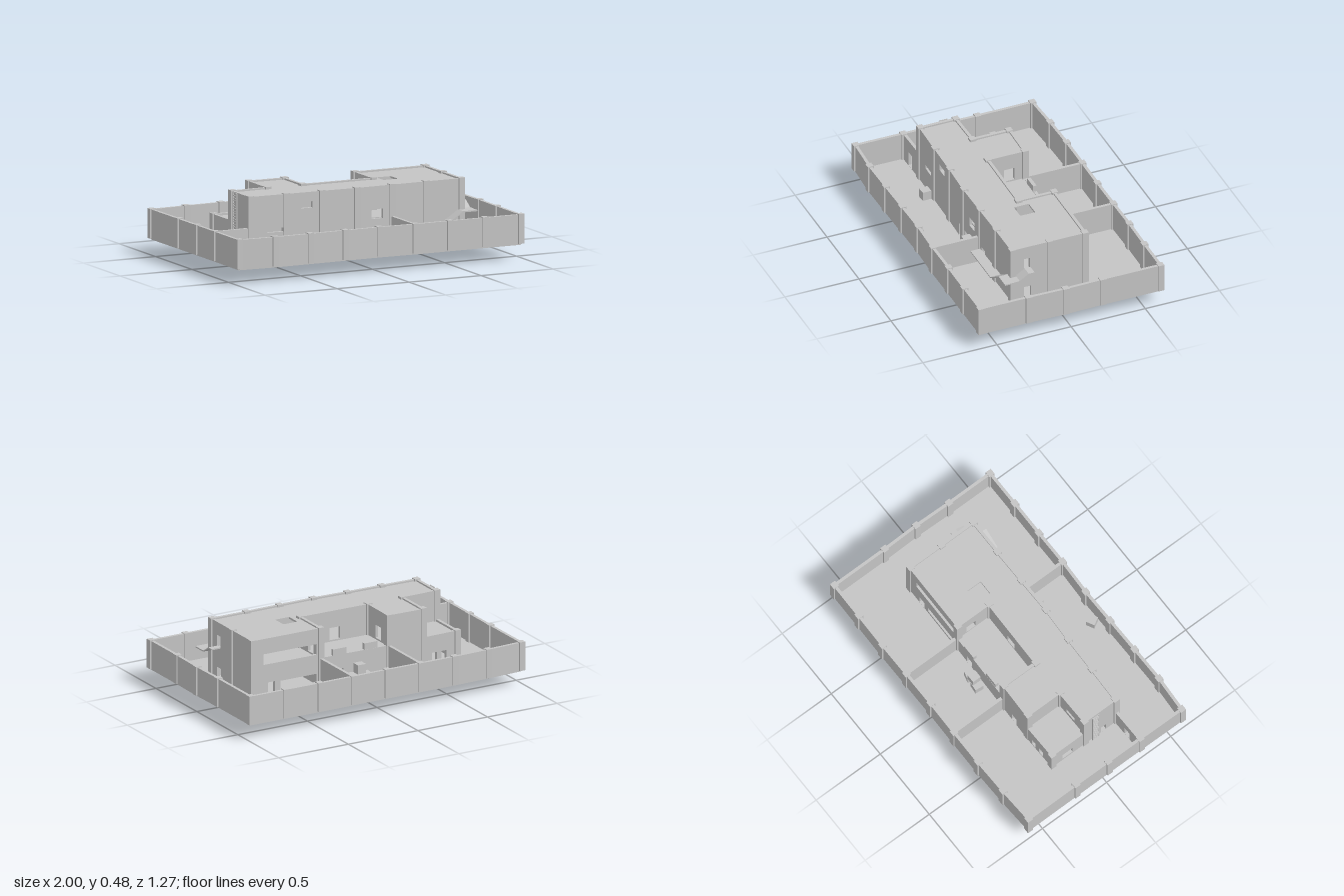
import * as THREE from 'three';

const grey = new THREE.MeshStandardMaterial({ color: 0xc4c4c4 });
grey.name = 'concrete grey';

const GROUND = 0.1, MID = 0.283, TOP = 0.48, T = 0.02;

export function createModel() {
  const model = new THREE.Group();

  const add = (name, geo) => {
    const m = new THREE.Mesh(geo, grey);
    m.name = name;
    model.add(m);
    return m;
  };
  const box = (name, x0, x1, y0, y1, z0, z1) => {
    const m = add(name, new THREE.BoxGeometry(x1 - x0, y1 - y0, z1 - z0));
    m.position.set((x0 + x1) / 2, (y0 + y1) / 2, (z0 + z1) / 2);
    return m;
  };
  const rectPath = (a, b, c, d) => new THREE.Path([[a, c], [b, c], [b, d], [a, d]].map(p => new THREE.Vector2(...p)));

  // Upright wall between two plan points; openings are [from, to, bottom, top] along the main axis
  const panel = (name, p, q, y0, y1, openings = []) => {
    const dx = q[0] - p[0], dz = q[1] - p[1], len = Math.hypot(dx, dz);
    const axis = Math.abs(dx) > Math.abs(dz) ? 0 : 1;
    const u = v => (v - p[axis]) / (q[axis] - p[axis]) * len;
    const shape = new THREE.Shape([[0, y0], [len, y0], [len, y1], [0, y1]].map(a => new THREE.Vector2(...a)));
    for (const [a, b, c, d] of openings) shape.holes.push(rectPath(u(a), u(b), c, d));
    const geo = new THREE.ExtrudeGeometry(shape, { depth: T, bevelEnabled: false });
    geo.translate(0, 0, -T / 2).rotateY(-Math.atan2(dz, dx)).translate(p[0], 0, p[1]);
    add(name, geo);
  };
  const pillar = (name, [x, z], y1) => box(name, x - 0.02, x + 0.02, GROUND, y1, z - 0.02, z + 0.02);

  // Horizontal slab from a plan outline, with rectangular holes [x0, x1, z0, z1]
  const slab = (name, pts, y0, y1, holes = []) => {
    const shape = new THREE.Shape(pts.map(([x, z]) => new THREE.Vector2(x, -z)));
    for (const [a, b, c, d] of holes) shape.holes.push(rectPath(a, b, -d, -c));
    const geo = new THREE.ExtrudeGeometry(shape, { depth: y1 - y0, bevelEnabled: false });
    add(name, geo.rotateX(-Math.PI / 2).translate(0, y0, 0));
  };

  // Slightly uneven perimeter
  const xs = [-0.98, -0.735, -0.49, -0.245, -0.005, 0.24, 0.48, 0.725, 0.975];
  const zs = [-0.22, 0.03, 0.28];
  const front = [0.6, 0.612, 0.608, 0.603, 0.598, 0.605, 0.603, 0.603, 0.602].map((z, i) => [xs[i], z]);
  const back = [-0.592, -0.605, -0.612, -0.612, -0.61, -0.612, -0.615, -0.613, -0.612].map((z, i) => [xs[i], z]);
  const perimeter = [
    ...front, ...[...zs].reverse().map((z, i) => [i === 1 ? 0.98 : 0.975, z]),
    ...[...back].reverse(), ...zs.map(z => [-0.978, z]),
  ];
  slab('groundSlab', perimeter, 0.09, GROUND);
  perimeter.forEach((p, i) => {
    panel('yardWall', p, perimeter[(i + 1) % perimeter.length], 0.095, MID);
    pillar('yardPillar', p, MID + 0.005);
  });

  // Walls dividing the yard
  panel('yardDivider', [-0.245, -0.61], [-0.245, -0.22], GROUND, MID);
  panel('yardDivider', [0.24, -0.61], [0.24, -0.22], GROUND, MID);
  panel('yardDivider', [0.24, 0.285], [0.24, 0.6], GROUND, MID);
  panel('yardDivider', [-0.978, 0.275], [-0.735, 0.27], GROUND, MID, [[-0.89, -0.84, 0.102, 0.2]]);

  // Front facade
  const facade = [[-0.735, 0.27], [-0.49, 0.276], [-0.245, 0.28], [-0.005, 0.289], [0.24, 0.285], [0.48, 0.281], [0.725, 0.28]];
  const facadeOpenings = [
    [[-0.62, -0.51, 0.245, 0.27]],
    [[-0.39, -0.31, 0.38, 0.42]],
    [[-0.07, -0.03, 0.102, 0.19]],
    [[0.02, 0.07, 0.102, 0.19], [0.095, 0.175, 0.275, 0.335]],
    [[0.28, 0.33, 0.16, 0.225]],
    [],
  ];
  facadeOpenings.forEach((o, i) => panel('frontFacade', facade[i], facade[i + 1], GROUND, TOP, o));
  facade.forEach(p => pillar('buildingPillar', p, TOP + 0.005));

  // Side walls, full height
  panel('rightSideWall', [0.725, -0.21], [0.725, 0.28], GROUND, TOP, [[0.165, 0.205, 0.32, 0.395], [0.155, 0.205, 0.102, 0.185]]);
  panel('leftSideWall', [-0.735, 0.03], [-0.735, 0.27], GROUND, TOP, [[0.15, 0.19, 0.102, 0.18]]);

  // Rear blocks and recessed upper walls
  panel('rearBlockWall', [0.24, -0.212], [0.725, -0.21], GROUND, TOP,
    [[0.27, 0.65, 0.31, 0.38], [0.27, 0.53, 0.125, 0.185], [0.57, 0.62, 0.102, 0.19]]);
  panel('rearTowerWall', [-0.49, -0.228], [-0.245, -0.222], GROUND, TOP, [[-0.39, -0.34, 0.102, 0.19]]);
  panel('terraceSideWall', [0.24, -0.212], [0.24, 0.03], GROUND, TOP, [[-0.15, -0.08, 0.29, 0.375]]);
  panel('terraceSideWall', [-0.245, -0.222], [-0.245, 0.03], GROUND, TOP, [[-0.15, -0.08, 0.29, 0.375]]);
  panel('terraceRearWall', [-0.245, 0.025], [0.24, 0.03], GROUND, TOP, [[-0.04, 0.035, 0.29, 0.37]]);
  panel('cornerInnerWall', [-0.735, 0.03], [-0.49, 0.025], GROUND, TOP, [[-0.65, -0.57, 0.315, 0.36]]);
  panel('cornerInnerWall', [-0.49, -0.228], [-0.49, 0.025], GROUND, TOP);
  [[0.725, -0.21], [0.725, 0.03], [0.24, -0.212], [0.24, 0.03], [-0.245, 0.025], [-0.245, -0.222],
    [-0.49, -0.222], [-0.49, 0.025], [-0.735, 0.03]].forEach(p => pillar('buildingPillar', p, TOP + 0.005));

  // Lower corner room and the ground floor below the terrace
  panel('cornerRoomBackWall', [-0.735, -0.222], [-0.49, -0.228], GROUND, MID + 0.01,
    [[-0.585, -0.55, 0.11, 0.18], [-0.655, -0.62, 0.11, 0.18]]);
  panel('cornerRoomSideWall', [-0.735, -0.222], [-0.735, 0.03], GROUND, MID + 0.01, [[-0.15, -0.07, 0.12, 0.185]]);
  pillar('cornerRoomPillar', [-0.735, -0.222], MID + 0.015);
  panel('terraceFrontWall', [-0.245, -0.222], [0.24, -0.212], GROUND, MID, [[0.08, 0.13, 0.102, 0.19]]);
  for (const [a, b] of [[-0.165, -0.07], [0.06, 0.155]]) box('terraceParapet', a, b, MID, 0.325, -0.228, -0.205);

  // Floors and roof
  slab('upperFloor', [[-0.735, -0.222], [-0.49, -0.224], [0.725, -0.21], [0.725, 0.28], [-0.735, 0.27]], 0.268, 0.28);
  slab('roof', [[-0.735, 0.03], [-0.49, 0.03], [-0.49, -0.222], [-0.245, -0.222], [-0.245, 0.03], [0.24, 0.03],
    [0.24, -0.21], [0.725, -0.21], [0.725, 0.28], [-0.005, 0.287], [-0.735, 0.27]], 0.458, 0.47, [[0.29, 0.39, -0.02, 0.08]]);

  // Walkway: ledge, steep chute, landing, ramp and lower run
  const ramp = (name, pts, along, a, b) => {
    const shape = new THREE.Shape([...pts, ...[...pts].reverse().map(([u, y]) => [u, y - 0.008])].map(p => new THREE.Vector2(...p)));
    const geo = new THREE.ExtrudeGeometry(shape, { depth: b - a, bevelEnabled: false });
    if (along === 'z') geo.rotateY(-Math.PI / 2).translate(b, 0, 0);
    else geo.translate(0, 0, a);
    add(name, geo);
  };
  ramp('walkwayChute', [[0.16, 0.325], [0.2, 0.325], [0.26, 0.287], [0.3, 0.285], [0.36, 0.285]], 'z', 0.732, 0.8);
  ramp('walkwayRun', [[0.26, 0.2], [0.57, 0.2], [0.7, 0.285], [0.733, 0.285]], 'x', 0.29, 0.36);

  // Ladder on the side wall
  for (const z of [0.08, 0.128]) box('ladderRail', -0.757, -0.751, 0, TOP, z - 0.002, z + 0.002);
  for (let y = 0.012; y < TOP; y += 0.0165) box('ladderRung', -0.757, -0.752, y, y + 0.005, 0.08, 0.128);

  // Crates: x, z, base height, turn
  for (const [x, z, y, turn] of [[-0.525, 0.328, 0, 0.05], [0.1, 0.34, 0, 0.2], [0.17, 0.352, 0, 0.1], [0.14, 0.33, 0.06, 0],
    [-0.138, 0.545, 0, 0.5], [-0.045, -0.28, 0, -0.1], [0.035, -0.272, 0, -0.25], [-0.008, -0.275, 0.06, 0]]) {
    const s = 0.029;
    box('crate', x - s, x + s, GROUND + y, GROUND + y + 0.06, z - s, z + s).rotation.y = turn;
  }
  return model;
}
